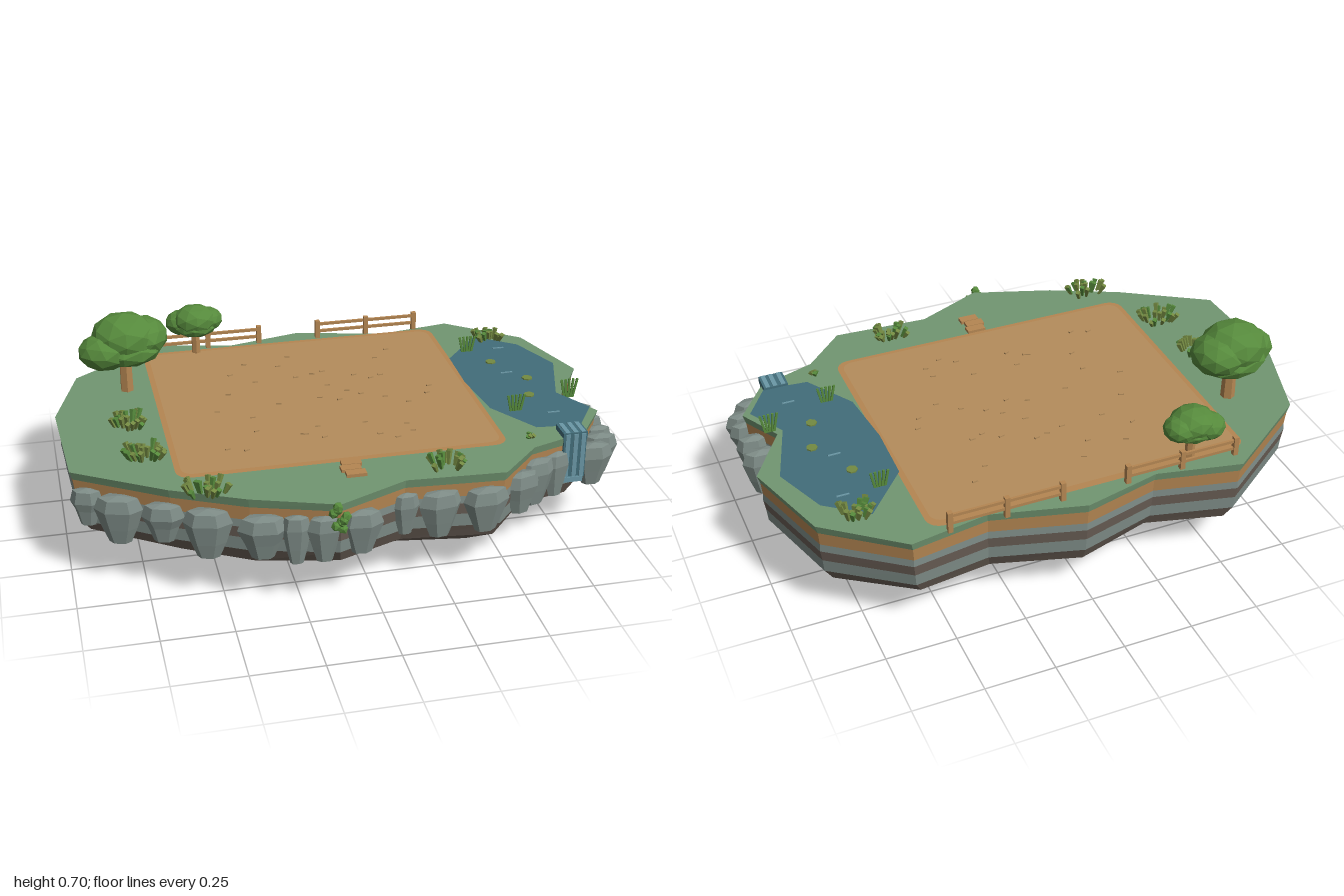
import * as THREE from 'three';

const mat = (name, color) => Object.assign(
  new THREE.MeshStandardMaterial({ color, flatShading: true, side: THREE.DoubleSide }), { name });
const M = {
  grass: mat('grass', 0x729672), earth: mat('earth and wood', 0xb48652), dirt: mat('dirt', 0xb48d5c),
  stone: mat('stone', 0x7e8c87), rock: mat('brown rock', 0x695e55), deep: mat('deep stone', 0x66706c),
  water: mat('water', 0x426d7a), foam: mat('foam', 0x6b98a6), foliage: mat('foliage', 0x568a3c),
  leaf: mat('leaf', 0x748a42),
};
const TOP = 0.395;

let seed = 11;
const rnd = () => (seed = (seed * 16807) % 2147483647) / 2147483647;

// Island edge as x, z pairs, clockwise seen from above
const EDGE = [[-0.57, -0.72], [-0.27, -0.655], [0.01, -0.72], [0.34, -0.635], [0.62, -0.68], [0.88, -0.475],
  [0.985, -0.145], [0.855, 0.06], [0.94, 0.215], [0.83, 0.37], [0.62, 0.44], [0.47, 0.59], [0.12, 0.57],
  [-0.13, 0.68], [-0.42, 0.58], [-0.67, 0.46], [-0.98, 0.265], [-1, -0.165], [-0.9, -0.48]];
const POND = [[0.535, -0.32], [0.69, -0.5], [0.835, -0.39], [0.915, -0.19], [0.835, 0.06], [0.915, 0.2],
  [0.83, 0.33], [0.67, 0.315], [0.555, 0.13], [0.53, -0.1]];

function add(parent, name, geo, material, x = 0, y = 0, z = 0) {
  const m = new THREE.Mesh(geo, material);
  m.name = name;
  m.position.set(x, y, z);
  parent.add(m);
  return m;
}
function box(parent, name, material, w, h, d, x, y, z) {
  return add(parent, name, new THREE.BoxGeometry(w, h, d), material, x, y, z);
}

// Flat horizontal plate from an outline
function plate(points) {
  const shape = new THREE.Shape(points.map(([x, z]) => new THREE.Vector2(x, -z)));
  return new THREE.ShapeGeometry(shape).rotateX(-Math.PI / 2);
}

// One ring of cliff between two levels: [height, outline scale, waviness]
function band([y0, s0, w0], [y1, s1, w1]) {
  const at = (i, y, s, w) => {
    const k = i % EDGE.length;
    return [EDGE[k][0] * s, Math.max(0, y + w * Math.sin(k * 2.1)), EDGE[k][1] * s - 0.03 * (1 - s)];
  };
  const pos = [];
  for (let i = 0; i < EDGE.length; i++) {
    const a = at(i, y0, s0, w0), b = at(i + 1, y0, s0, w0), c = at(i + 1, y1, s1, w1), d = at(i, y1, s1, w1);
    pos.push(...a, ...b, ...c, ...a, ...c, ...d);
  }
  const g = new THREE.BufferGeometry();
  g.setAttribute('position', new THREE.Float32BufferAttribute(pos, 3));
  g.computeVertexNormals();
  return g;
}

function roundedRect(x0, z0, x1, z1, r) {
  const pts = [];
  [[x1 - r, z0 + r, -90], [x1 - r, z1 - r, 0], [x0 + r, z1 - r, 90], [x0 + r, z0 + r, 180]].forEach(([x, z, a]) => {
    for (let i = 0; i <= 4; i++) {
      const t = (a + i * 22.5) * Math.PI / 180;
      pts.push([x + r * Math.cos(t), z + r * Math.sin(t)]);
    }
  });
  return pts;
}

function cliff(parent) {
  const rings = [[TOP, 1, 0], [0.363, 0.99, 0.002], [0.313, 0.985, 0.004], [0.285, 0.987, 0.005], [0.243, 0.98, 0.006],
    [0.195, 0.975, 0.008], [0.145, 0.94, 0.012], [0.085, 0.79, 0.016], [0.016, 0.57, 0.01], [0, 0, 0]];
  const layers = [['grassRim', M.grass], ['earthLayer', M.earth], ['upperStoneLayer', M.stone], ['upperRockLayer', M.rock],
    ['lowerStoneLayer', M.stone], ['lowerRockLayer', M.rock], ['rockSlope', M.rock], ['deepStoneSlope', M.deep],
    ['underside', M.rock]];
  layers.forEach(([name, m], i) => add(parent, name, band(rings[i], rings[i + 1]), m));
  add(parent, 'grassTop', plate(EDGE), M.grass, 0, TOP, 0);
}

// Flat tapering boulders hanging along the front and right rim: x, z, half width
function boulders(parent) {
  const spots = [[0.92, 0.06, 0.07], [0.925, 0.15, 0.065], [0.93, 0.24, 0.06], [0.92, 0.3, 0.07], [0.87, 0.365, 0.075],
    [0.72, 0.4, 0.06], [0.63, 0.435, 0.08], [0.55, 0.515, 0.075], [0.4, 0.59, 0.085], [0.24, 0.58, 0.08],
    [0.12, 0.57, 0.05], [-0.05, 0.645, 0.075], [-0.18, 0.66, 0.06], [-0.27, 0.635, 0.05], [-0.38, 0.615, 0.085],
    [-0.55, 0.53, 0.085], [-0.69, 0.46, 0.075], [-0.83, 0.375, 0.085], [-0.93, 0.3, 0.06]];
  for (const [x, z, r] of spots) {
    const low = 0.16 + rnd() * 0.045;
    const profile = [[0, low], [r * 0.45, low + 0.004], [r * 0.72, low + 0.06], [r, 0.295], [r * 0.8, 0.338], [0, 0.347]];
    const g = new THREE.LatheGeometry(profile.map(([a, b]) => new THREE.Vector2(a, b)), 6, rnd() * 0.6 + 0.2);
    const m = add(parent, 'rimBoulder', g.scale(1, 1, 0.52), M.stone, x, 0, z);
    m.rotation.y = Math.max(-0.3, Math.min(0.3, x * 0.4)) * (x > 0.8 ? 0 : 1);
  }
}

// Tree with a canopy of faceted lobes [dx, y, dz, rx, ry, rz]
function tree(parent, x, z, trunk, trunkTop, lobes) {
  const g = new THREE.Group();
  g.name = 'tree';
  g.position.set(x, 0, z);
  add(g, 'trunk', new THREE.CylinderGeometry(trunk * 0.9, trunk, trunkTop - TOP, 6), M.earth, 0, (TOP + trunkTop) / 2, 0);
  lobes.forEach(([dx, y, dz, rx, ry, rz], i) => {
    const geo = new THREE.IcosahedronGeometry(1, 1).rotateY(i);
    add(g, 'canopyLobe', geo, M.foliage, dx, y, dz).scale.set(rx, ry, rz);
  });
  parent.add(g);
}

function fence(parent, x0, x1) {
  const g = new THREE.Group(), mid = (x0 + x1) / 2;
  g.name = 'fence';
  for (const x of [x0, mid, x1]) box(g, 'fencePost', M.earth, 0.018, 0.08, 0.018, x, TOP + 0.033, -0.658);
  for (const y of [0.423, 0.453]) box(g, 'fenceRail', M.earth, x1 - x0, 0.011, 0.009, mid, y, -0.658);
  parent.add(g);
}

// Clump of short leaves leaning outward
function tuft(parent, x, z, spread, count = 20, height = 0.046) {
  const g = new THREE.Group();
  g.name = 'grassTuft';
  g.position.set(x, TOP, z);
  for (let i = 0; i < count; i++) {
    const h = height * (0.7 + rnd() * 0.4), dx = rnd() - 0.5, dz = rnd() - 0.5;
    const geo = new THREE.CylinderGeometry(0.011, 0.006, h, 4).translate(0, h / 2, 0);
    const m = add(g, 'leaf', geo, i % 3 ? M.leaf : M.foliage, dx * spread, 0, dz * spread * 0.65);
    m.rotation.set(dz * 0.9, 0, -dx * 0.9);
  }
  parent.add(g);
}

// Fan of thin upright blades
function reeds(parent, x, z) {
  const g = new THREE.Group();
  g.name = 'reeds';
  g.position.set(x, TOP, z);
  for (let i = -2; i <= 2; i++) {
    const m = add(g, 'reedBlade', new THREE.BoxGeometry(0.008, 0.075, 0.006).translate(0, 0.037, 0), M.foliage, i * 0.008);
    m.rotation.z = -i * 0.1;
  }
  parent.add(g);
}

export function createModel() {
  const root = new THREE.Group();
  root.name = 'floatingIsland';
  cliff(root);
  boulders(root);

  // Bare field with border and clods
  add(root, 'fieldBorder', plate(roundedRect(-0.63, -0.635, 0.54, 0.4, 0.05)), M.earth, 0, 0.399, 0);
  add(root, 'field', plate(roundedRect(-0.61, -0.61, 0.52, 0.38, 0.04)), M.dirt, 0, 0.402, 0);
  for (let i = 0; i < 38; i++) {
    const m = box(root, 'clod', M.dirt, 0.02, 0.006, 0.007, -0.45 + rnd() * 0.85, 0.404, -0.48 + rnd() * 0.75);
    m.rotation.y = (rnd() - 0.5) * 0.8;
  }

  // Pond, ripples and lily pads
  add(root, 'pond', plate(POND), M.water, 0, 0.406, 0);
  for (const [x, z] of [[0.75, -0.37], [0.71, -0.145], [0.77, 0.215]])
    box(root, 'ripple', M.foam, 0.045, 0.003, 0.006, x, 0.408, z);
  for (const [x, z] of [[0.68, -0.25], [0.77, -0.08], [0.73, 0.06]])
    add(root, 'lilyPad', new THREE.CylinderGeometry(0.02, 0.02, 0.005, 7), M.leaf, x, 0.409, z);

  // Waterfall over the front rim
  box(root, 'waterfallLip', M.water, 0.09, 0.025, 0.08, 0.785, 0.402, 0.362);
  box(root, 'waterfallSheet', M.water, 0.085, 0.18, 0.012, 0.785, 0.325, 0.396);
  for (const dx of [-0.028, 0.002, 0.03]) {
    box(root, 'waterfallStreak', M.foam, 0.016, 0.17, 0.005, 0.785 + dx, 0.325, 0.403);
    box(root, 'lipStreak', M.foam, 0.016, 0.004, 0.078, 0.785 + dx, 0.415, 0.362);
  }
  box(root, 'waterfallFoot', M.foam, 0.07, 0.02, 0.02, 0.785, 0.23, 0.398);

  // Trees
  tree(root, -0.72, -0.34, 0.026, 0.54, [[0, 0.61, 0, 0.125, 0.095, 0.11], [-0.075, 0.572, 0.03, 0.1, 0.07, 0.085],
    [0.065, 0.602, -0.015, 0.1, 0.075, 0.1], [0.005, 0.565, 0, 0.135, 0.064, 0.11]]);
  tree(root, -0.42, -0.61, 0.018, 0.5, [[0, 0.54, 0, 0.085, 0.06, 0.076], [-0.052, 0.525, -0.02, 0.062, 0.05, 0.055],
    [0.05, 0.535, -0.01, 0.06, 0.046, 0.06], [0, 0.515, 0, 0.085, 0.042, 0.072]]);

  fence(root, -0.57, -0.16);
  fence(root, 0.08, 0.48);

  // Stepping planks in front of the field
  [-0.035, -0.045, -0.035].forEach((x, i) =>
    box(root, 'stepPlank', M.earth, 0.07, 0.012, 0.034, x, 0.401, 0.42 + i * 0.037));

  // Plants
  [[-0.75, -0.035, 0.11], [-0.72, 0.215, 0.11], [-0.545, 0.51, 0.12], [0.28, 0.51, 0.1], [0.75, -0.48, 0.1]]
    .forEach(([x, z, s]) => tuft(root, x, z, s));
  tuft(root, 0.62, 0.36, 0.03, 5, 0.015);
  for (const [x, z] of [[0.62, -0.37], [0.64, 0.17], [0.875, 0.085]]) reeds(root, x, z);

  // Vine trailing down the front rim
  for (let i = 0; i < 8; i++) {
    const m = add(root, 'vineLeaf', new THREE.IcosahedronGeometry(0.018, 0), M.foliage,
      -0.135 + (rnd() - 0.5) * 0.045, 0.395 - i * 0.012, 0.69 + rnd() * 0.012);
    m.rotation.set(i, i * 2, 0);
  }
  return root;
}
